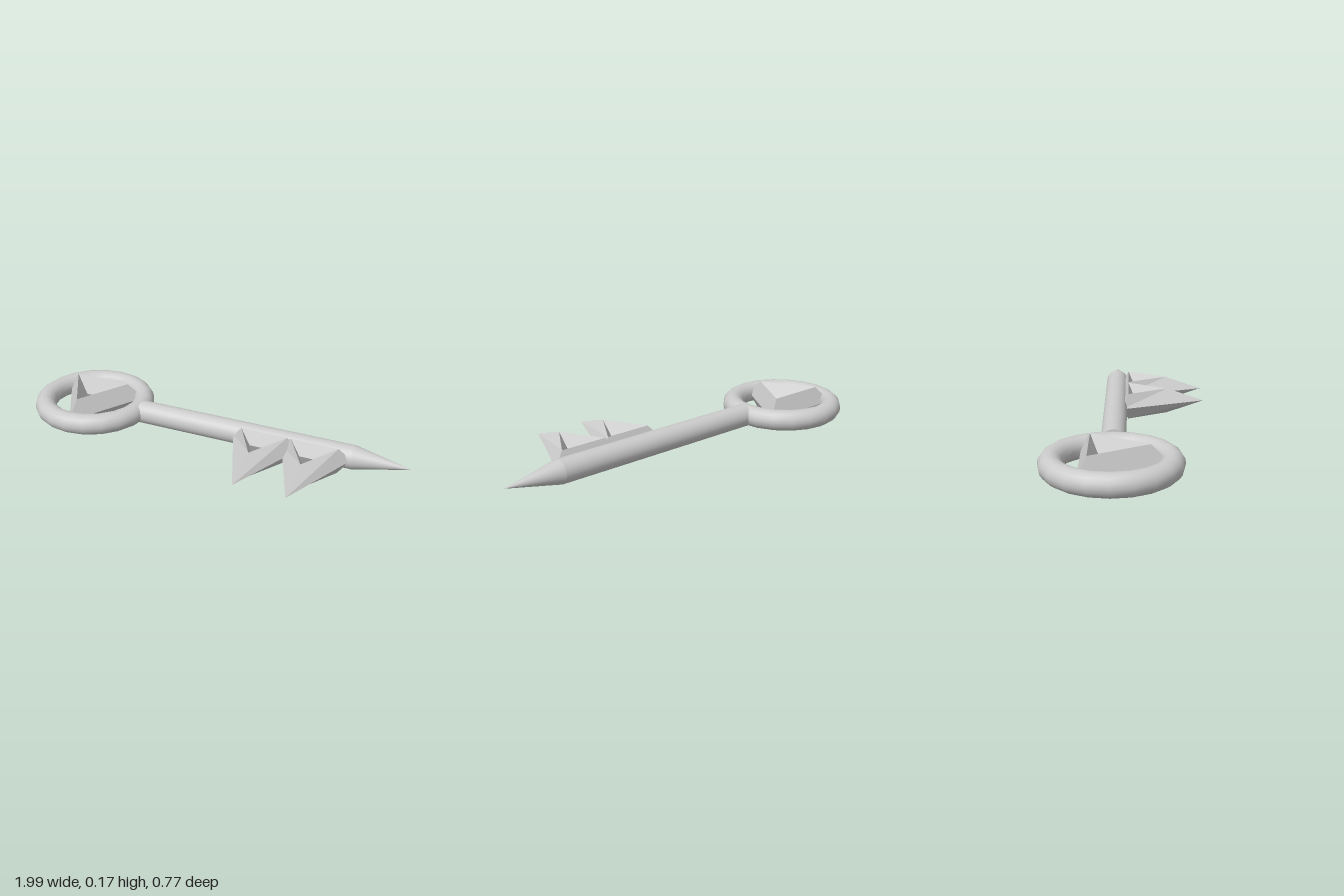
import * as THREE from 'three';

const AXIS_Y = 0.087, AXIS_Z = -0.074;

const smooth = new THREE.MeshStandardMaterial({ color: 0xcccccc });
const faceted = new THREE.MeshStandardMaterial({ color: 0xcccccc, flatShading: true });

function addPart(group, name, geometry, material, x, y, z) {
  const mesh = new THREE.Mesh(geometry, material);
  mesh.name = name;
  mesh.position.set(x, y, z);
  group.add(mesh);
}

// Three-sided ring with a diamond section, lying flat, one corner towards +z
function triangleRing(radius, tube, tipZ = radius + tube) {
  const geometry = new THREE.TorusGeometry(radius, tube, 4, 3);
  geometry.rotateZ(Math.PI / 2).rotateX(Math.PI / 2);
  // Draw the outermost corner out to a point
  const p = geometry.attributes.position;
  for (let i = 0; i < p.count; i++) {
    if (p.getZ(i) > radius + tube * 0.9) p.setZ(i, tipZ);
  }
  geometry.computeVertexNormals();
  return geometry;
}

export function createModel() {
  const key = new THREE.Group();
  key.name = 'key';

  // Round handle with a triangular inset
  const bow = new THREE.TorusGeometry(0.258, 0.053, 16, 20).rotateX(Math.PI / 2);
  addPart(key, 'bowRing', bow, smooth, -0.689, AXIS_Y, -0.076);
  addPart(key, 'bowTriangle', triangleRing(0.173, 0.084), faceted, -0.695, AXIS_Y, -0.085);

  // Shaft and its pointed end
  const shaftStart = -0.41, shaftEnd = 0.715, tip = 0.99, radius = 0.058;
  const shaft = new THREE.CylinderGeometry(radius, radius, shaftEnd - shaftStart, 32).rotateZ(-Math.PI / 2);
  addPart(key, 'shaft', shaft, smooth, (shaftStart + shaftEnd) / 2, AXIS_Y, AXIS_Z);
  const point = new THREE.ConeGeometry(radius, tip - shaftEnd, 32).rotateZ(-Math.PI / 2);
  addPart(key, 'shaftPoint', point, smooth, (shaftEnd + tip) / 2, AXIS_Y, AXIS_Z);

  // Pair of pointed teeth
  const toothZ = 0.058;
  [0.287, 0.539].forEach((x, i) => {
    addPart(key, `tooth${i + 1}`, triangleRing(0.135, 0.065, 0.383 - toothZ), faceted, x, AXIS_Y, toothZ);
  });

  return key;
}
